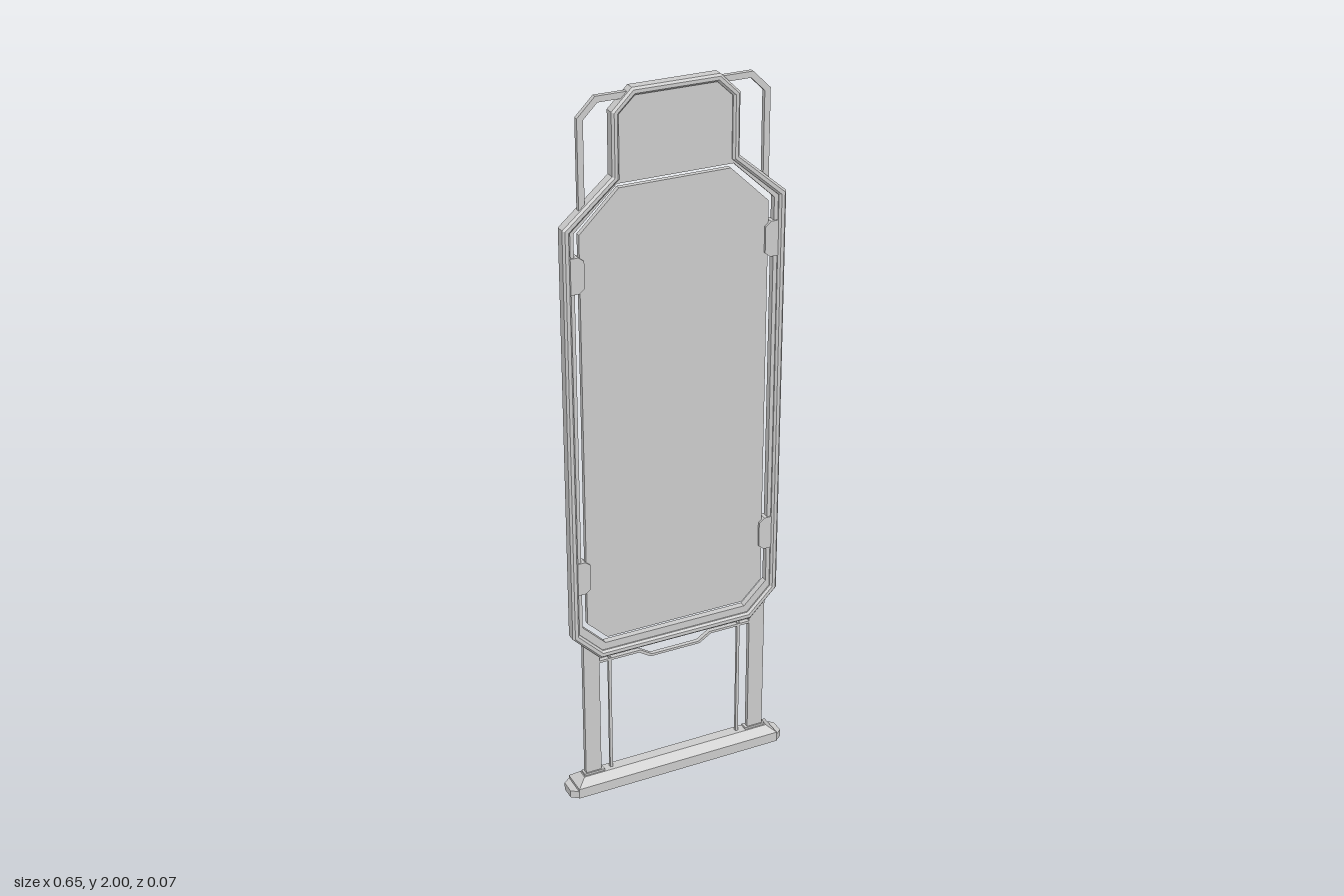
import * as THREE from 'three';
import { ConvexGeometry } from 'three/addons/geometries/ConvexGeometry.js';

const grey = new THREE.MeshStandardMaterial({ color: 0xcccccc });
grey.name = 'light grey';

// Full closed outline from its right half, listed bottom to top
const mirror = (half) => [...half, ...half.map(([x, y]) => [-x, y]).reverse()];
const vectors = (points) => points.map(([x, y]) => new THREE.Vector2(x, y));

// Flat plate centred on z = 0, with optional hole and chamfered rim
function plate(name, outline, thickness, hole, bevel = 0) {
  const shape = new THREE.Shape(vectors(outline));
  if (hole) shape.holes.push(new THREE.Path(vectors(hole)));
  const depth = thickness - 2 * bevel;
  const geometry = new THREE.ExtrudeGeometry(shape, {
    depth,
    bevelEnabled: bevel > 0,
    bevelThickness: bevel,
    bevelSize: bevel,
    bevelOffset: -bevel,
    bevelSegments: 1,
  });
  geometry.translate(0, 0, -depth / 2);
  return named(name, geometry);
}

function named(name, geometry) {
  const mesh = new THREE.Mesh(geometry, grey);
  mesh.name = name;
  return mesh;
}

// Box given by its x and y ranges, centred on z = 0
function bar(name, x0, x1, y0, y1, depth) {
  const geometry = new THREE.BoxGeometry(x1 - x0, y1 - y0, depth);
  geometry.translate((x0 + x1) / 2, (y0 + y1) / 2, 0);
  return named(name, geometry);
}

// Convex solid from horizontal rectangles [halfX, y, halfZ]
function stacked(name, levels) {
  const points = [];
  for (const [x, y, z] of levels)
    for (const sx of [-1, 1])
      for (const sz of [-1, 1]) points.push(new THREE.Vector3(sx * x, y, sz * z));
  return named(name, new ConvexGeometry(points));
}

export function createModel() {
  const model = new THREE.Group();
  model.name = 'shield';

  // Raised rim around the silhouette
  const silhouette = mirror([
    [0.225, 0.425], [0.304, 0.505], [0.304, 1.67],
    [0.171, 1.785], [0.171, 1.947], [0.117, 2.0],
  ]);
  const rimInside = mirror([
    [0.217, 0.446], [0.284, 0.514], [0.284, 1.66],
    [0.152, 1.776], [0.152, 1.939], [0.109, 1.98],
  ]);
  model.add(plate('rim', silhouette, 0.036, rimInside, 0.0055));

  // Recessed lip that also closes the head section
  const lipOutside = mirror([
    [0.22, 0.436], [0.293, 0.51], [0.293, 1.665],
    [0.161, 1.78], [0.161, 1.943], [0.113, 1.99],
  ]);
  const opening = mirror([[0.208, 0.467], [0.273, 0.532], [0.273, 1.655], [0.157, 1.764]]);
  model.add(plate('headAndLip', lipOutside, 0.018, opening));

  // Main panel floating inside the opening
  const panel = mirror([[0.201, 0.482], [0.258, 0.539], [0.258, 1.648], [0.151, 1.752]]);
  model.add(plate('mainPanel', panel, 0.014));

  for (const side of [1, -1]) {
    const flip = (points) => points.map(([x, y]) => [side * x, y]);

    // Clips holding the panel
    for (const y of [0.685, 1.545]) {
      const clip = [
        [0.285, y - 0.048], [0.263, y - 0.048], [0.248, y - 0.036],
        [0.248, y + 0.036], [0.263, y + 0.048], [0.285, y + 0.048],
      ];
      model.add(plate('panelClip', flip(clip), 0.026));
    }

    // Open loop beside the head
    const loop = [
      [0.257, 1.69], [0.257, 1.942], [0.209, 1.99], [0.122, 1.99],
      [0.122, 1.974], [0.203, 1.974], [0.241, 1.936], [0.241, 1.70],
    ];
    model.add(plate('sideLoop', flip(loop), 0.013));

    // Leg, its foot and the thin rod beside it
    const leg = bar('leg', 0.226, 0.272, 0.045, 0.48, 0.014);
    const foot = bar('legFoot', 0.218, 0.278, 0.045, 0.056, 0.022);
    const rod = bar('rod', 0.19, 0.198, 0.045, 0.415, 0.008);
    for (const part of [leg, foot, rod]) {
      part.position.x = side > 0 ? 0 : -2 * part.geometry.boundingBoxCenterX || 0;
      if (side < 0) part.geometry.rotateY(Math.PI);
      model.add(part);
    }
  }

  // Thin strip below the rim, dipping into a grip
  const strip = mirror([
    [0.074, 0.382], [0.108, 0.404], [0.23, 0.404],
    [0.23, 0.411], [0.104, 0.411], [0.07, 0.389],
  ]);
  model.add(plate('gripStrip', strip, 0.012));

  // Base with sloped top and tapered ends
  model.add(stacked('base', [[0.306, 0, 0.0365], [0.306, 0.03, 0.0365], [0.281, 0.05, 0.015]]));
  model.add(stacked('baseEnds', [
    [0.305, 0, 0.036], [0.305, 0.022, 0.036],
    [0.326, 0, 0.02], [0.326, 0.022, 0.02],
  ]));

  return model;
}
